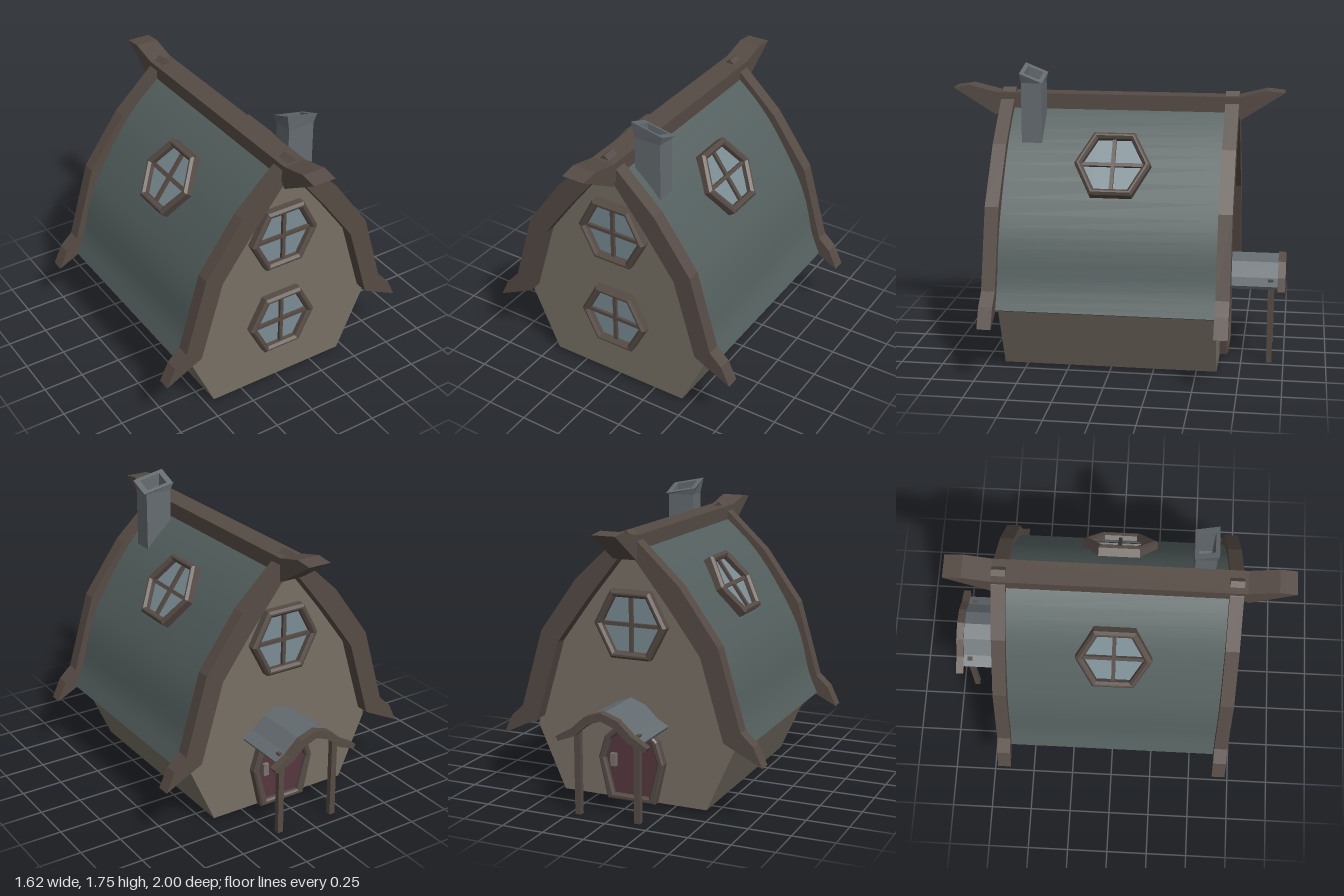
import * as THREE from 'three';
import { toCreasedNormals } from 'three/addons/utils/BufferGeometryUtils.js';

const mat = (color) => new THREE.MeshStandardMaterial({ color, roughness: 0.9 });

export function createModel() {
  const model = new THREE.Group();
  model.name = 'cottage';
  const wood = mat(0x564b45), wall = mat(0x776f64), slate = mat(0x535f5e);
  const glass = mat(0x7a8c93), stone = mat(0x646b70), doorPaint = mat(0x56383f), metal = mat(0x77736c);

  const add = (parent, name, geometry, material) => {
    const mesh = new THREE.Mesh(geometry, material);
    mesh.name = name;
    parent.add(mesh);
    return mesh;
  };
  const box = (parent, name, size, pos, material) =>
    add(parent, name, new THREE.BoxGeometry(...size), material).position.set(...pos);
  const shapeOf = (pts) => new THREE.Shape(pts.map(([x, y]) => new THREE.Vector2(x, y)));
  // Extrudes an outline from z0 to z1
  const slab = (shape, z0, z1) => {
    const g = new THREE.ExtrudeGeometry(shape, { depth: z1 - z0, bevelEnabled: false });
    return g.translate(0, 0, z0);
  };
  // Closes a right-hand profile with its mirror image
  const mirrored = (pts) => [...pts, ...pts.filter((p) => p[0] !== 0).map(([x, y]) => [-x, y]).reverse()];
  // Arched band between an outer and an inner half profile, both listed from the apex down
  const band = (outer, inner) => {
    const flip = (pts) => pts.slice(1).map(([x, y]) => [-x, y]);
    return shapeOf([...flip(outer).reverse(), ...outer, ...inner.slice().reverse(), ...flip(inner)]);
  };
  // Bevelled frame around an outline, with an opening
  const frame = (outer, inner, depth, bevel) => {
    const s = shapeOf(outer);
    s.holes.push(new THREE.Path(inner.map(([x, y]) => new THREE.Vector2(x, y))));
    return new THREE.ExtrudeGeometry(s, {
      depth, bevelEnabled: true, bevelSegments: 1, bevelSize: bevel, bevelOffset: -bevel, bevelThickness: bevel,
    });
  };

  // Walls: tapered base with a gable under the roof
  add(model, 'walls', slab(shapeOf(mirrored([
    [0.45, 0.015], [0.62, 0.395], [0.585, 0.53], [0.53, 0.74], [0.46, 0.92], [0.3, 1.17], [0.17, 1.33], [0, 1.47],
  ])), -0.62, 0.63), wall);

  // Curved roof shell
  const curve = new THREE.SplineCurve([
    [0.02, 1.52], [0.2, 1.36], [0.34, 1.19], [0.5, 0.93], [0.575, 0.75], [0.625, 0.55], [0.685, 0.41],
  ].map(([x, y]) => new THREE.Vector2(x, y)));
  const roofOuter = [], roofInner = [];
  for (let i = 0; i <= 18; i++) {
    const p = curve.getPoint(i / 18), t = curve.getTangent(i / 18);
    roofOuter.push([p.x, p.y]);
    roofInner.push([p.x + t.y * 0.035, p.y - t.x * 0.035]);
  }
  roofInner[0] = [0, 1.49];
  roofOuter[0] = [0, 1.53];
  add(model, 'roof', toCreasedNormals(slab(band(roofOuter, roofInner), -0.625, 0.635), 0.5), slate);

  // Gable boards with flared feet
  const board = band(
    [[0, 1.59], [0.07, 1.53], [0.315, 1.3], [0.545, 0.98], [0.68, 0.52], [0.755, 0.45], [0.81, 0.335]],
    [[0, 1.48], [0.06, 1.42], [0.25, 1.18], [0.44, 0.92], [0.58, 0.45], [0.81, 0.335]],
  );
  add(model, 'frontGableBoard', slab(board, 0.63, 0.71), wood);
  add(model, 'backGableBoard', slab(board, -0.7, -0.62), wood);

  // Ridge beam with upswept ends, drawn in (z, y) and turned to run along z
  const ridge = slab(shapeOf([
    [1.0, 1.59], [0.9, 1.605], [0.73, 1.565], [-0.7, 1.565], [-0.86, 1.605], [-0.965, 1.595],
    [-0.71, 1.43], [-0.68, 1.475], [0.7, 1.475], [0.74, 1.43],
  ]), -0.07, 0.07);
  ridge.rotateY(-Math.PI / 2);
  add(model, 'ridgeBeam', ridge, wood).position.x = 0.005;

  // Hexagonal windows
  const hex = (w, h) => [[w, 0], [w * 0.54, h], [-w * 0.54, h], [-w, 0], [-w * 0.54, -h], [w * 0.54, -h]];
  const addWindow = (name, pos, normal) => {
    const g = new THREE.Group();
    g.name = name;
    add(g, 'windowFrame', frame(hex(0.222, 0.195), hex(0.178, 0.157), 0.06, 0.014), wood).position.z = -0.018;
    add(g, 'windowGlass', slab(shapeOf(hex(0.2, 0.175)), -0.02, 0.014), glass);
    box(g, 'verticalBar', [0.022, 0.33, 0.02], [0, 0, 0.022], wood);
    box(g, 'horizontalBar', [0.37, 0.022, 0.02], [0, 0, 0.022], wood);
    g.position.set(...pos);
    g.lookAt(pos[0] + normal[0], pos[1] + normal[1], pos[2] + normal[2]);
    model.add(g);
  };
  addWindow('frontUpperWindow', [0, 1.05, 0.63], [0, 0, 1]);
  addWindow('frontLowerWindow', [0, 0.45, 0.63], [0, 0, 1]);
  addWindow('backUpperWindow', [0, 1.05, -0.62], [0, 0, -1]);
  for (const s of [1, -1]) {
    addWindow(s > 0 ? 'leftRoofWindow' : 'rightRoofWindow', [s * 0.335, 1.19, 0], [s * 0.81, 0.58, 0]);
  }

  // Chimney: rectangular sections lofted up to a slanted, flared lip and down inside
  const rim = (x, z) => 1.7 - 0.2 * (x - 0.17) + 0.4 * (z - 0.49);
  const ring = (hx, hz, y) => [[-1, 1], [1, 1], [1, -1], [-1, -1]].map(([sx, sz]) => {
    const x = 0.172 + sx * hx, z = 0.49 + sz * hz;
    return [x, y ?? rim(x, z), z];
  });
  const rings = [ring(0.082, 0.06, 1.15), ring(0.082, 0.06, 1.65), ring(0.1, 0.067),
    ring(0.066, 0.045), ring(0.06, 0.04, 1.45)];
  const verts = [];
  for (let r = 0; r < rings.length - 1; r++) {
    for (let i = 0; i < 4; i++) {
      const j = (i + 1) % 4, a = rings[r], b = rings[r + 1];
      verts.push(...a[i], ...a[j], ...b[j], ...a[i], ...b[j], ...b[i]);
    }
  }
  const floor = rings[4];
  verts.push(...floor[0], ...floor[1], ...floor[2], ...floor[0], ...floor[2], ...floor[3]);
  const chimney = new THREE.BufferGeometry();
  chimney.setAttribute('position', new THREE.Float32BufferAttribute(verts, 3));
  chimney.computeVertexNormals();
  add(model, 'chimney', chimney, stone);

  // Back door: pointed arch that narrows toward the sill
  const arch = (k, y0) => mirrored([[0.15 - k, y0], [0.205 - k, 0.26], [0.165 - k, 0.39 - k * 0.4], [0.07 - k * 0.3, 0.475 - k]]);
  const door = new THREE.Group();
  door.name = 'door';
  add(door, 'doorFrame', frame(arch(0, 0.015), arch(0.04, 0.05), 0.05, 0.01), wood).position.z = -0.01;
  add(door, 'doorPanel', slab(shapeOf(arch(0.02, 0.03)), -0.01, 0.02), doorPaint);
  box(door, 'doorHandle', [0.035, 0.075, 0.025], [-0.115, 0.25, 0.03], metal);
  door.position.z = -0.62;
  door.rotation.y = Math.PI;
  model.add(door);

  // Porch: bent gable roof, end board and two posts
  const porch = new THREE.Group();
  porch.name = 'porch';
  add(porch, 'porchRoof', slab(band(
    [[0, 0.622], [0.09, 0.59], [0.17, 0.515], [0.235, 0.48]],
    [[0, 0.597], [0.08, 0.567], [0.16, 0.494], [0.225, 0.462]],
  ), -0.96, -0.61), stone);
  add(porch, 'porchEndBoard', slab(band(
    [[0, 0.632], [0.1, 0.598], [0.185, 0.52], [0.28, 0.465]],
    [[0, 0.585], [0.08, 0.555], [0.16, 0.482], [0.265, 0.44]],
  ), -1, -0.955), wood);
  for (const s of [1, -1]) {
    box(porch, s > 0 ? 'leftPorchPost' : 'rightPorchPost', [0.036, 0.51, 0.032], [s * 0.183, 0.255, -0.915], wood);
  }
  porch.position.x = 0.018;
  model.add(porch);

  return model;
}
